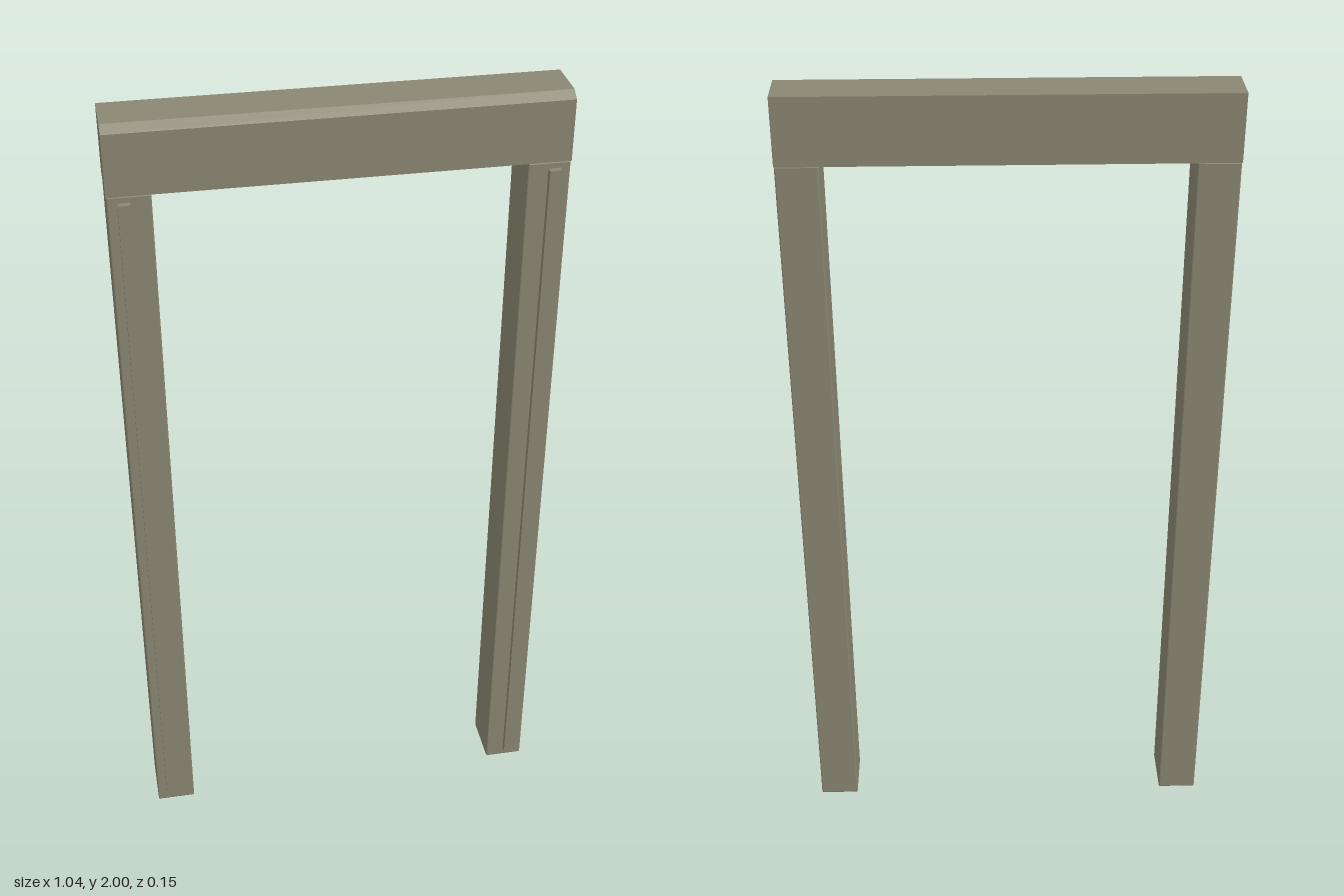
import * as THREE from 'three';
import { RoundedBoxGeometry } from 'three/addons/geometries/RoundedBoxGeometry.js';

export function createModel() {
  const model = new THREE.Group();
  model.name = 'doorFrame';

  const frameMaterial = new THREE.MeshStandardMaterial({ color: 0x8a8672 });
  frameMaterial.name = 'olive grey';

  const add = (name, geometry, x, y, z) => {
    const mesh = new THREE.Mesh(geometry, frameMaterial);
    mesh.name = name;
    mesh.position.set(x, y, z);
    model.add(mesh);
  };

  // Lintel: side profile (z, y) with a chamfered front top edge, swept along x
  const width = 1.036;
  const profile = new THREE.Shape([
    [-0.06, 1.84], [0.074, 1.84], [0.074, 2], [-0.037, 2], [-0.06, 1.985],
  ].map(([a, b]) => new THREE.Vector2(a, b)));
  const lintel = new THREE.ExtrudeGeometry(profile, { depth: width, bevelEnabled: false });
  lintel.rotateY(Math.PI / 2);
  add('lintel', lintel, -width / 2, 0, 0);

  // Posts with fine bevelled edges, each with a raised strip on the front
  for (const [side, s] of [['left', 1], ['right', -1]]) {
    const post = new RoundedBoxGeometry(0.098, 1.84, 0.131, 1, 0.003);
    post.computeVertexNormals();
    add(side + 'Post', post, s * 0.468, 0.92, -0.0065);
    add(side + 'Strip', new THREE.BoxGeometry(0.028, 1.8, 0.018), s * 0.48, 0.925, 0.065);
  }

  return model;
}
